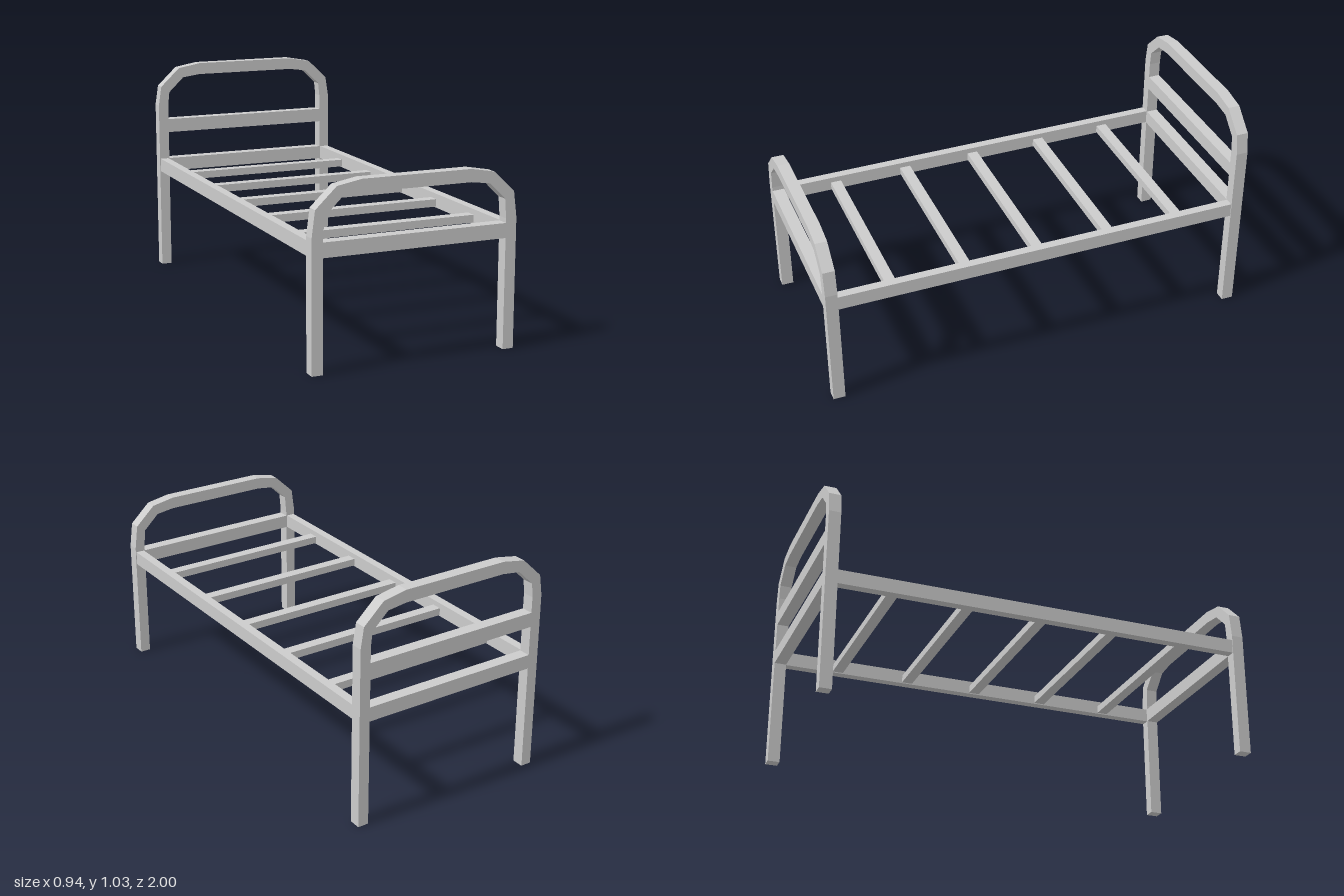
import * as THREE from 'three';

const material = new THREE.MeshStandardMaterial({ color: 0xcccccc, flatShading: true });
const DEPTH = 0.055; // thickness of both end frames

function box(name, [x0, x1], [y0, y1], [z0, z1]) {
  const mesh = new THREE.Mesh(new THREE.BoxGeometry(x1 - x0, y1 - y0, z1 - z0), material);
  mesh.position.set((x0 + x1) / 2, (y0 + y1) / 2, (z0 + z1) / 2);
  mesh.name = name;
  return mesh;
}

// Legs and faceted arch as one extruded outline; top is the arch height
function archFrame(name, top, shoulder, z) {
  const outer = [[0.47, 0], [0.47, shoulder], [0.455, top - 0.11], [0.36, top - 0.02], [0.25, top]];
  const inner = [[0.25, top - 0.056], [0.338, top - 0.068], [0.413, top - 0.14], [0.42, shoulder], [0.42, 0]];
  const mirror = (pts) => pts.map(([x, y]) => [-x, y]).reverse();
  const outline = [...outer, ...mirror(outer), ...mirror(inner), ...inner];
  const shape = new THREE.Shape(outline.map(([x, y]) => new THREE.Vector2(x, y)));
  const mesh = new THREE.Mesh(
    new THREE.ExtrudeGeometry(shape, { depth: DEPTH, bevelEnabled: false }), material);
  mesh.position.z = z;
  mesh.name = name;
  return mesh;
}

export function createModel() {
  const bed = new THREE.Group();
  bed.name = 'bedFrame';
  const inside = [-0.42, 0.42];
  const railY = [0.49, 0.555];
  const headZ = [-1, -1 + DEPTH];
  const footZ = [1 - DEPTH, 1];

  // Head end: taller arch with two crossbars
  const headboard = new THREE.Group();
  headboard.name = 'headboard';
  headboard.add(
    archFrame('headArch', 1.035, 0.83, headZ[0]),
    box('headUpperBar', inside, [0.69, 0.757], headZ),
    box('headLowerBar', inside, railY, headZ));

  // Foot end: lower arch with one crossbar
  const footboard = new THREE.Group();
  footboard.name = 'footboard';
  footboard.add(
    archFrame('footArch', 0.8, 0.575, footZ[0]),
    box('footLowerBar', inside, railY, footZ));
  bed.add(headboard, footboard);

  // Side rails
  const railZ = [headZ[1], footZ[0]];
  bed.add(box('leftRail', [0.425, 0.466], railY, railZ));
  bed.add(box('rightRail', [-0.466, -0.425], railY, railZ));

  // Evenly spaced slats set below the rail tops
  for (let i = -2; i <= 2; i++) {
    const z = i * 0.346;
    bed.add(box(`slat${i + 3}`, [-0.425, 0.425], [0.495, 0.53], [z - 0.025, z + 0.025]));
  }
  return bed;
}
